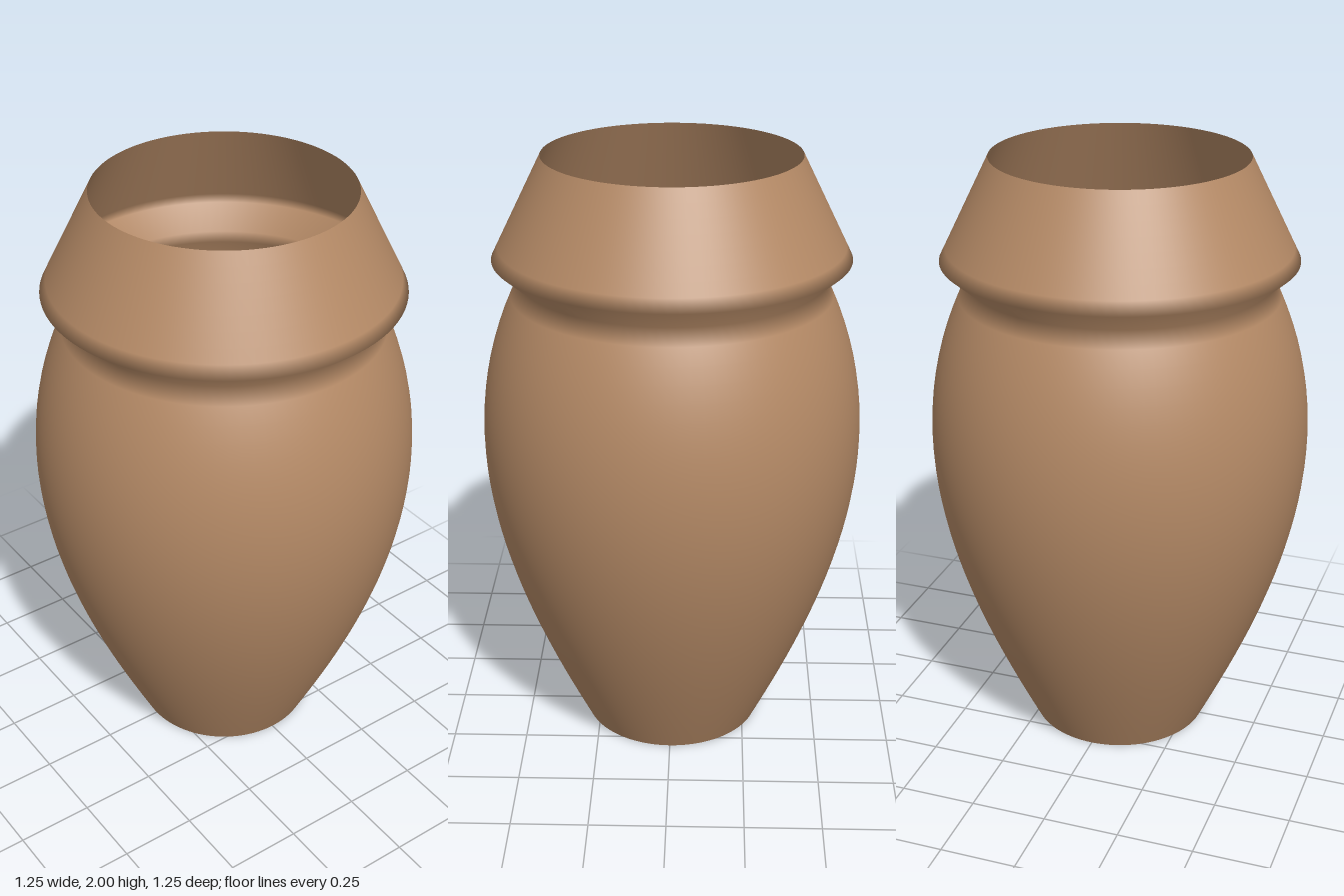
import * as THREE from 'three';

const v = (x, y) => new THREE.Vector2(x, y);

export function createModel() {
  const group = new THREE.Group();
  group.name = 'vase';

  const clay = new THREE.MeshStandardMaterial({ color: 0xb58a66, side: THREE.DoubleSide });
  clay.name = 'clay';

  // Bulging body, then a flared lip and a tapering collar
  const body = new THREE.CubicBezierCurve(v(0.3, 0), v(0.56, 0.53), v(0.77, 1.07), v(0.495, 1.6));
  const lip = new THREE.LineCurve(v(0.495, 1.6), v(0.577, 1.67));
  const collar = new THREE.LineCurve(v(0.577, 1.67), v(0.413, 2));

  const profile = [
    ...body.getPoints(30),
    ...lip.getPoints(1).slice(1),
    ...collar.getPoints(8).slice(1),
  ];

  // Thin open shell, without a floor
  const shell = new THREE.Mesh(new THREE.LatheGeometry(profile, 96), clay);
  shell.name = 'vaseShell';
  group.add(shell);

  return group;
}
